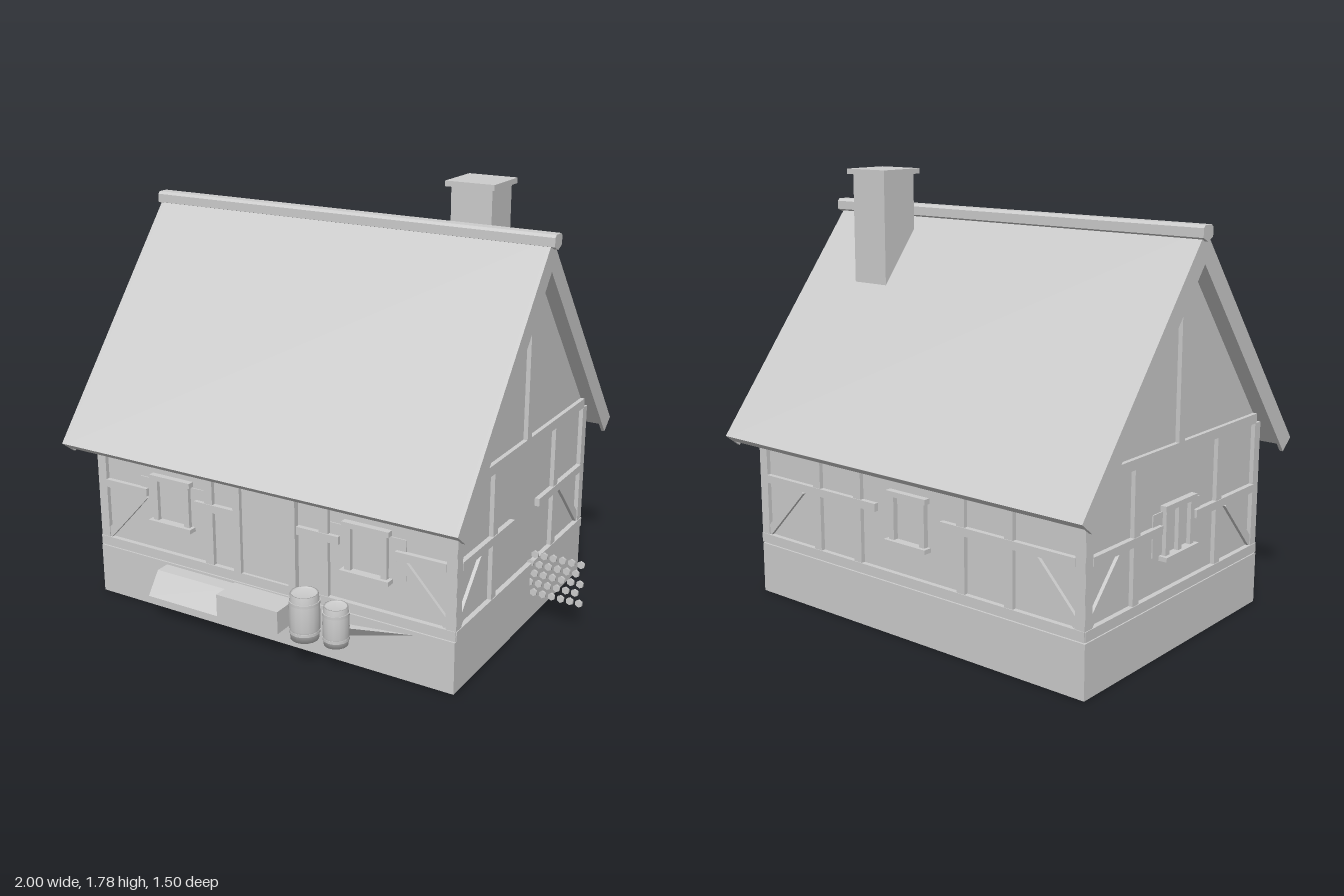
import * as THREE from 'three';

export function createModel() {
  const model = new THREE.Group();
  const grey = new THREE.MeshStandardMaterial({ color: 0xcccccc });
  grey.name = 'plain grey';
  const CX = -0.07, CZ = -0.01; // centre of the house itself

  const add = (parent, name, geometry, x = 0, y = 0, z = 0) => {
    const mesh = new THREE.Mesh(geometry, grey);
    mesh.name = name;
    mesh.position.set(x, y, z);
    parent.add(mesh);
    return mesh;
  };
  // Box given by its limits on each axis
  const box = (parent, name, x0, x1, y0, y1, z0, z1) =>
    add(parent, name, new THREE.BoxGeometry(x1 - x0, y1 - y0, z1 - z0),
      (x0 + x1) / 2, (y0 + y1) / 2, (z0 + z1) / 2);
  // Profile of [z, y] points swept along x
  const sweep = (parent, name, points, x0, x1, z = 0) => {
    const shape = new THREE.Shape(points.map(([pz, py]) => new THREE.Vector2(-pz, py)));
    const geometry = new THREE.ExtrudeGeometry(shape, { depth: x1 - x0, bevelEnabled: false });
    geometry.rotateY(Math.PI / 2);
    return add(parent, name, geometry, x0, 0, z);
  };

  // Plinth and plastered body with gables
  box(model, 'plinth', -0.915, 0.77, 0, 0.215, CZ - 0.61, CZ + 0.61);
  sweep(model, 'walls', [[-0.59, 0.2], [0.59, 0.2], [0.59, 0.8], [0, 1.54], [-0.59, 0.8]],
    -0.895, 0.755, CZ);

  // Roof: thin sheet, deeper boards at both gable ends, ridge cap
  const chevron = (thickness) => {
    const apex = 1.615, eaveZ = 0.735, eaveY = 0.7, nx = 0.78 * thickness, ny = 0.625 * thickness;
    const drop = thickness / 0.625;
    return [[0, apex], [eaveZ, eaveY], [eaveZ - nx, eaveY - ny], [0, apex - drop],
      [-eaveZ + nx, eaveY - ny], [-eaveZ, eaveY]];
  };
  sweep(model, 'roof', chevron(0.045), -0.97, 0.818, CZ);
  sweep(model, 'bargeBoards', chevron(0.077), -0.985, -0.97, CZ);
  sweep(model, 'bargeBoards', chevron(0.077), 0.818, 0.833, CZ);
  sweep(model, 'ridgeCap', [[-0.033, 1.59], [0, 1.575], [0.033, 1.59], [0.033, 1.625],
    [0.022, 1.635], [-0.022, 1.635], [-0.033, 1.625]], -1, 0.85, CZ - 0.01);

  // Chimney
  box(model, 'chimney', 0.375, 0.55, 1.2, 1.77, -0.25, -0.075);
  box(model, 'chimneyCap', 0.355, 0.565, 1.763, 1.785, -0.27, -0.06);

  // Timber framing: each wall is a group whose local z points outward
  const wall = (name, x, z, turn) => {
    const group = new THREE.Group();
    group.name = name;
    group.position.set(x, 0, z);
    group.rotation.y = turn;
    model.add(group);
    return group;
  };
  const D = 0.018;
  const frame = (group, half, posts, rails) => {
    box(group, 'sillBeam', -half, half, 0.22, 0.26, 0, D + 0.003);
    for (const s of [-1, 1]) {
      const span = (name, a, b, y0, y1, d) =>
        box(group, name, Math.min(s * a, s * b), Math.max(s * a, s * b), y0, y1, 0, d);
      span('cornerPost', half - 0.043, half, 0.26, 0.78, D);
      for (const p of posts) span('post', p - 0.02, p + 0.02, 0.26, 0.78, D);
      for (const [a, b] of rails) span('rail', a, b, 0.49, 0.523, D + 0.003);
      // Diagonal brace from the foot of the corner post to the rail
      const x0 = half - 0.045, x1 = half - 0.235, y0 = 0.28, y1 = 0.485;
      const brace = add(group, 'brace',
        new THREE.BoxGeometry(Math.hypot(x1 - x0, y1 - y0) + 0.02, 0.036, D - 0.004),
        s * (x0 + x1) / 2, (y0 + y1) / 2, (D - 0.004) / 2);
      brace.rotation.z = s * Math.atan2(y1 - y0, x1 - x0);
    }
  };
  const windowFrame = (group, u, half, mullion, shutters) => {
    const part = new THREE.Group();
    part.name = 'window';
    part.position.x = u;
    group.add(part);
    box(part, 'lintel', -half - 0.01, half + 0.01, 0.573, 0.595, 0, 0.027);
    box(part, 'windowSill', -half - 0.015, half + 0.015, 0.38, 0.398, 0, 0.037);
    for (const s of [-1, 1]) {
      box(part, 'jamb', s * (half - 0.013) - 0.013, s * (half - 0.013) + 0.013, 0.398, 0.573, 0, 0.022);
    }
    if (mullion) box(part, 'mullion', -0.013, 0.013, 0.398, 0.573, 0, 0.022);
    if (shutters) box(part, 'shutters', -0.165, 0.165, 0.402, 0.57, 0, 0.005);
  };

  const front = wall('frontWall', CX, CZ + 0.59, 0);
  const back = wall('backWall', CX, CZ - 0.59, Math.PI);
  const rightGable = wall('rightGable', 0.755, CZ, Math.PI / 2);
  const leftGable = wall('leftGable', -0.895, CZ, -Math.PI / 2);

  frame(front, 0.842, [0.272], [[0.585, 0.8], [0.15, 0.34]]);
  for (const s of [-1, 1]) windowFrame(front, s * 0.46, 0.092, false, true);
  frame(back, 0.842, [0.27, 0.5], [[0.17, 0.8]]);
  windowFrame(back, 0, 0.092, false, false);
  for (const gable of [rightGable, leftGable]) {
    frame(gable, 0.607, [0.29], [[0.12, 0.565]]);
    box(gable, 'tieBeam', -0.575, 0.575, 0.78, 0.82, 0, D);
    box(gable, 'kingPost', -0.02, 0.02, 0.82, 1.53, 0, D);
  }
  windowFrame(leftGable, 0, 0.1, true, true);

  // Door with frame
  box(front, 'door', -0.115, 0.115, 0.22, 0.645, 0, 0.008);
  box(front, 'doorLintel', -0.16, 0.16, 0.645, 0.67, 0, 0.033);
  for (const s of [-1, 1]) {
    box(front, 'doorJamb', s * 0.13 - 0.017, s * 0.13 + 0.017, 0.26, 0.645, 0, 0.025);
  }

  // Doorstep, sloping hatch beside it, small leaning wedge
  box(model, 'doorstep', -0.22, 0.07, 0.115, 0.21, 0.58, 0.725);
  sweep(model, 'hatch', [[0.58, 0.115], [0.725, 0.115], [0.66, 0.205], [0.58, 0.205]], -0.565, -0.22);
  const wedge = new THREE.BufferGeometry();
  const a = [0.6, 0.2, 0.6], b = [0.3, 0.115, 0.6], c = [0.3, 0.167, 0.637], d = [0.3, 0.167, 0.6];
  wedge.setAttribute('position', new THREE.Float32BufferAttribute(
    [b, a, c, c, a, d, b, c, d].flat(), 3));
  wedge.computeVertexNormals();
  add(model, 'wedge', wedge);

  // Barrels with hoops
  const barrel = (x, z, r, height) => {
    const group = new THREE.Group();
    group.name = 'barrel';
    group.position.set(x, 0.115, z);
    model.add(group);
    const profile = [[0, 0], [0.9, 0], [0.98, 0.25], [1, 0.5], [0.98, 0.75], [0.9, 1],
      [0.82, 1], [0.82, 0.96], [0, 0.96]];
    add(group, 'staves', new THREE.LatheGeometry(
      profile.map(([u, v]) => new THREE.Vector2(u * r, v * height)), 16));
    for (const v of [0.18, 0.82]) {
      add(group, 'hoop', new THREE.CylinderGeometry(r, r, 0.012, 16, 1), 0, v * height, 0);
    }
  };
  barrel(0.172, 0.688, 0.062, 0.19);
  barrel(0.302, 0.67, 0.053, 0.16);

  // Stack of hexagonal log ends beside the right gable
  const logShape = new THREE.CylinderGeometry(0.016, 0.016, 0.01, 6).rotateX(Math.PI / 2);
  for (let row = 0; row < 5; row++) {
    for (let i = 0; i < 6; i++) {
      add(model, 'logEnd', logShape, 0.768 + i * 0.0395 + (row % 2 ? 0 : 0.0197),
        0.131 + row * 0.0425, -0.083);
    }
  }
  return model;
}
